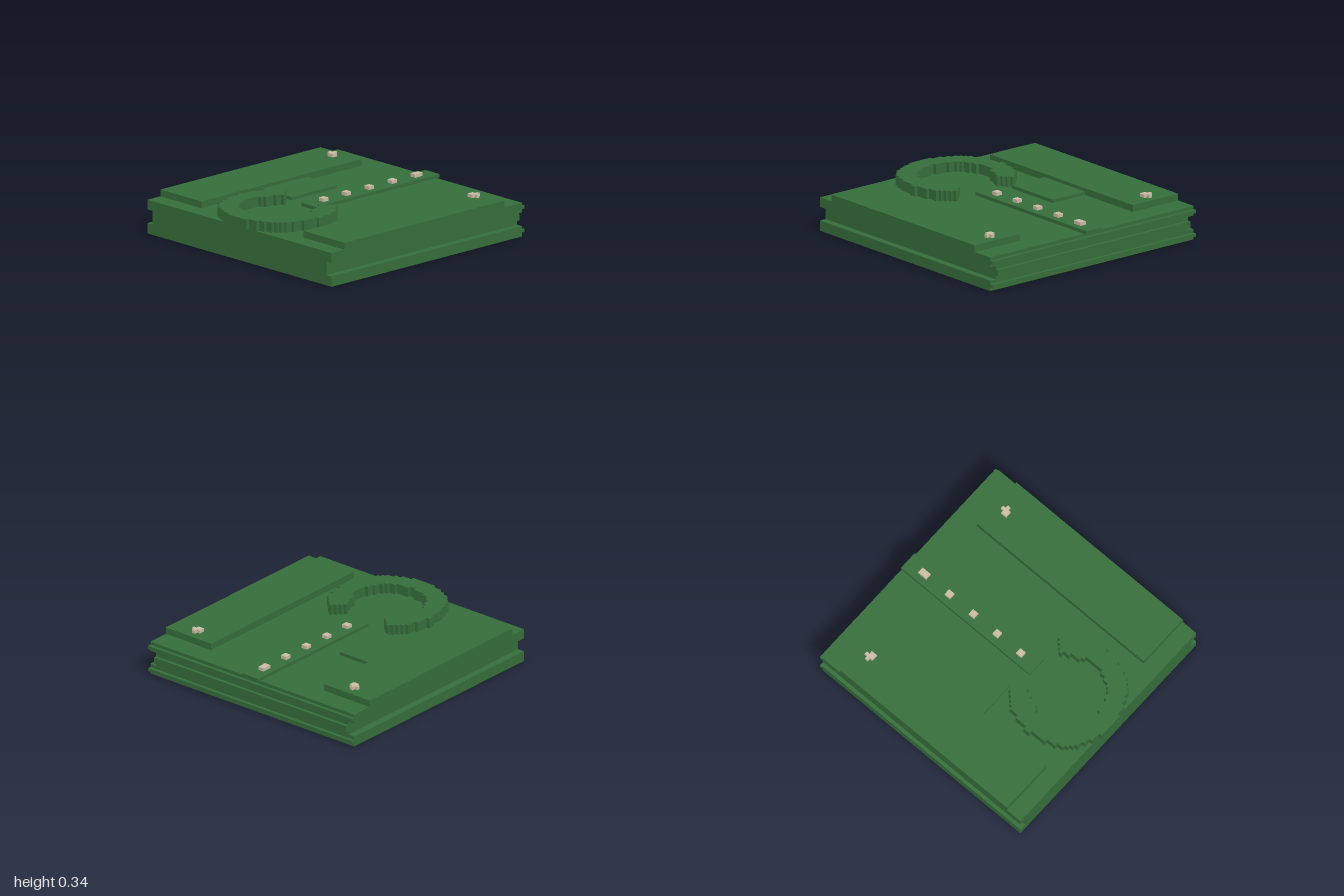
import * as THREE from 'three';

const CELL = 0.0261;

export function createModel() {
  const green = new THREE.MeshStandardMaterial({ color: 0x356d3a });
  green.name = 'green';
  const beige = new THREE.MeshStandardMaterial({ color: 0xcabba5 });
  beige.name = 'beige';
  const model = new THREE.Group();
  model.name = 'slab';

  const add = (name, geometry, material) => {
    const mesh = new THREE.Mesh(geometry, material);
    mesh.name = name;
    model.add(mesh);
    return mesh;
  };
  // Box given by its minimum and maximum on each axis
  const box = (name, [x0, x1], [y0, y1], [z0, z1], material = green) =>
    add(name, new THREE.BoxGeometry(x1 - x0, y1 - y0, z1 - z0), material)
      .position.set((x0 + x1) / 2, (y0 + y1) / 2, (z0 + z1) / 2);
  // Flat outline of [x, z] points raised from y0 to y1
  const plate = (name, points, y0, y1, material) => {
    const shape = new THREE.Shape(points.map(([x, z]) => new THREE.Vector2(x, -z)));
    const geometry = new THREE.ExtrudeGeometry(shape, { depth: y1 - y0, bevelEnabled: false });
    geometry.rotateX(-Math.PI / 2);
    geometry.translate(0, y0, 0);
    return add(name, geometry, material);
  };

  // Base slab with a groove along each side
  const half = [[0.985, 0], [0.985, 0.08], [0.93, 0.08], [0.93, 0.185], [0.985, 0.185], [0.985, 0.26]];
  const section = [...half, ...half.map(([x, y]) => [-x, y]).reverse()];
  const baseShape = new THREE.Shape(section.map(([x, y]) => new THREE.Vector2(x, y)));
  const base = new THREE.ExtrudeGeometry(baseShape, { depth: 1.945, bevelEnabled: false });
  base.translate(0, 0, -0.973);
  add('base', base, green);

  // Ridges across the back
  [[0.03, 0.053, 0.985], [0.108, 0.158, 0.93], [0.21, 0.235, 0.985]].forEach(([y0, y1, w]) =>
    box('backRidge', [-w, w], [y0, y1], [-1, -0.973]));

  // Raised panels
  box('leftPanel', [0.547, 0.985], [0.26, 0.312], [-0.797, 0.84]);
  box('rightPanel', [-0.985, -0.547], [0.26, 0.312], [-0.797, 0.84]);
  box('smallPanel', [-0.547, -0.235], [0.26, 0.286], [-0.25, 0.215]);
  box('centreStrip', [-0.077, 0.077], [0.26, 0.286], [-1, 0.267]);

  // Stepped open ring: half-width in cells for each row, from the tips forward
  const outer = [11, 12, 13, 14, 15, 15, 15, 16, 16, 16, 16, 17, 17, 16, 16, 16, 16, 16,
    15, 15, 15, 14, 14, 13, 12, 11, 9, 7, 4];
  const inner = [10, 9, 8, 7, 8, 8, 9, 9, 9, 10, 11, 11, 11, 11, 11, 11, 10, 10,
    9, 9, 8, 7, 5, 1];
  const steps = (rows) => {
    const points = [];
    rows.forEach((n, i) => {
      if (n !== rows[i - 1]) points.push([n * CELL, 0.242 + i * CELL]);
      if (n !== rows[i + 1]) points.push([n * CELL, 0.242 + (i + 1) * CELL]);
    });
    return points;
  };
  const mirror = (points) => points.map(([x, z]) => [-x, z]);
  const out = steps(outer), inn = steps(inner);
  const ring = [...out, ...mirror(out).reverse(), ...mirror(inn), ...[...inn].reverse()];
  plate('openRing', ring, 0.26, 0.338, green);

  // Studs along the centre strip
  [[-0.875, -0.797], [-0.615, -0.563], [-0.378, -0.328], [-0.145, -0.095], [0.087, 0.137]].forEach((z) =>
    box('stripStud', [-0.025, 0.025], [0.286, 0.312], z, beige));

  // Stepped stud on each side panel
  const stud = [[0.724, -0.717], [0.75, -0.717], [0.75, -0.743], [0.775, -0.743], [0.775, -0.717],
    [0.8, -0.717], [0.8, -0.692], [0.775, -0.692], [0.775, -0.668], [0.724, -0.668]];
  plate('leftStud', stud, 0.312, 0.338, beige);
  plate('rightStud', mirror(stud).reverse(), 0.312, 0.338, beige);

  return model;
}
